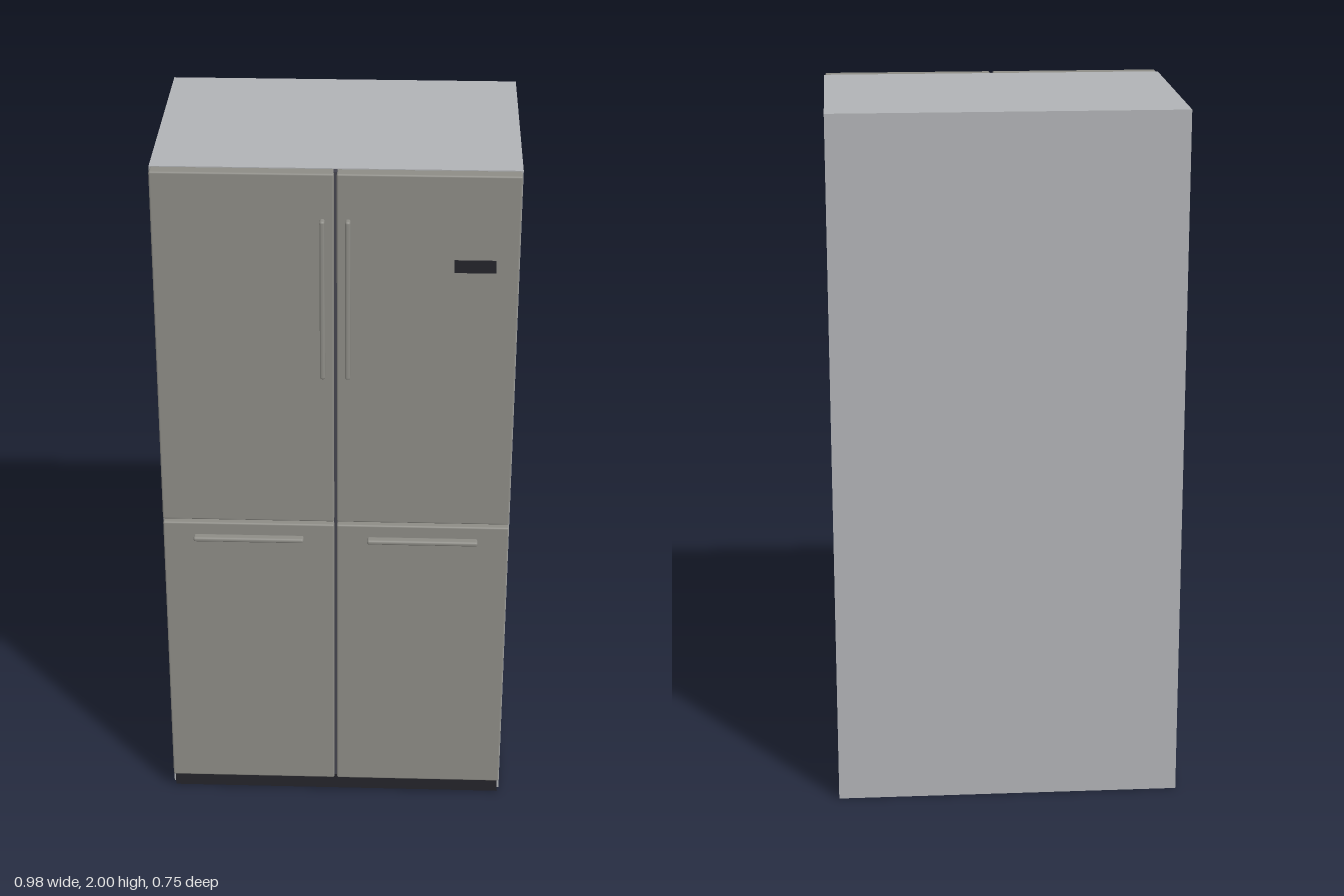
import * as THREE from 'three';
import { RoundedBoxGeometry } from 'three/addons/geometries/RoundedBoxGeometry.js';

const mat = (name, color) => {
  const m = new THREE.MeshStandardMaterial({ color });
  m.name = name;
  return m;
};

export function createModel() {
  const group = new THREE.Group();
  const cabinetGrey = mat('cabinet grey', 0xb0b2b5);
  const steel = mat('warm steel', 0x8d8c86);
  const black = mat('black plastic', 0x24242a);
  const seal = mat('door seal', 0x44444e);

  // Box given by its min and max corners, with optional rounded edges
  const block = (name, material, [x0, y0, z0], [x1, y1, z1], radius = 0) => {
    const size = [x1 - x0, y1 - y0, z1 - z0];
    const geometry = radius
      ? new RoundedBoxGeometry(...size, 3, radius)
      : new THREE.BoxGeometry(...size);
    const mesh = new THREE.Mesh(geometry, material);
    mesh.name = name;
    mesh.position.set((x0 + x1) / 2, (y0 + y1) / 2, (z0 + z1) / 2);
    group.add(mesh);
  };

  // Cabinet and the recessed plinth under the doors
  block('cabinet', cabinetGrey, [-0.492, 0, -0.375], [0.492, 2, 0.308]);
  block('kickPlate', black, [-0.485, 0.003, 0.305], [0.485, 0.055, 0.33]);

  // Dark seal in the gap between left and right doors
  block('centreSeal', seal, [-0.005, 0.053, 0.305], [0.005, 1.998, 0.33]);

  // Mirrored doors and handles: side 1 is the model's left
  for (const [side, s] of [['left', 1], ['right', -1]]) {
    const pair = (name, [xa, y0, z0], [xb, y1, z1], r) =>
      block(side + name, steel, [Math.min(s * xa, s * xb), y0, z0], [Math.max(s * xa, s * xb), y1, z1], r);
    pair('UpperDoor', [0.004, 0.948, 0.31], [0.489, 2, 0.35], 0.005);
    pair('LowerDoor', [0.004, 0.054, 0.31], [0.489, 0.938, 0.35], 0.005);
    pair('UpperHandle', [0.027, 1.41, 0.348], [0.041, 1.875, 0.374], 0.006);
    pair('LowerHandle', [0.09, 0.888, 0.348], [0.402, 0.902, 0.374], 0.006);
  }

  // Small control panel on the upper left door
  block('controlPanel', black, [0.317, 1.725, 0.349], [0.428, 1.761, 0.353]);

  return group;
}
